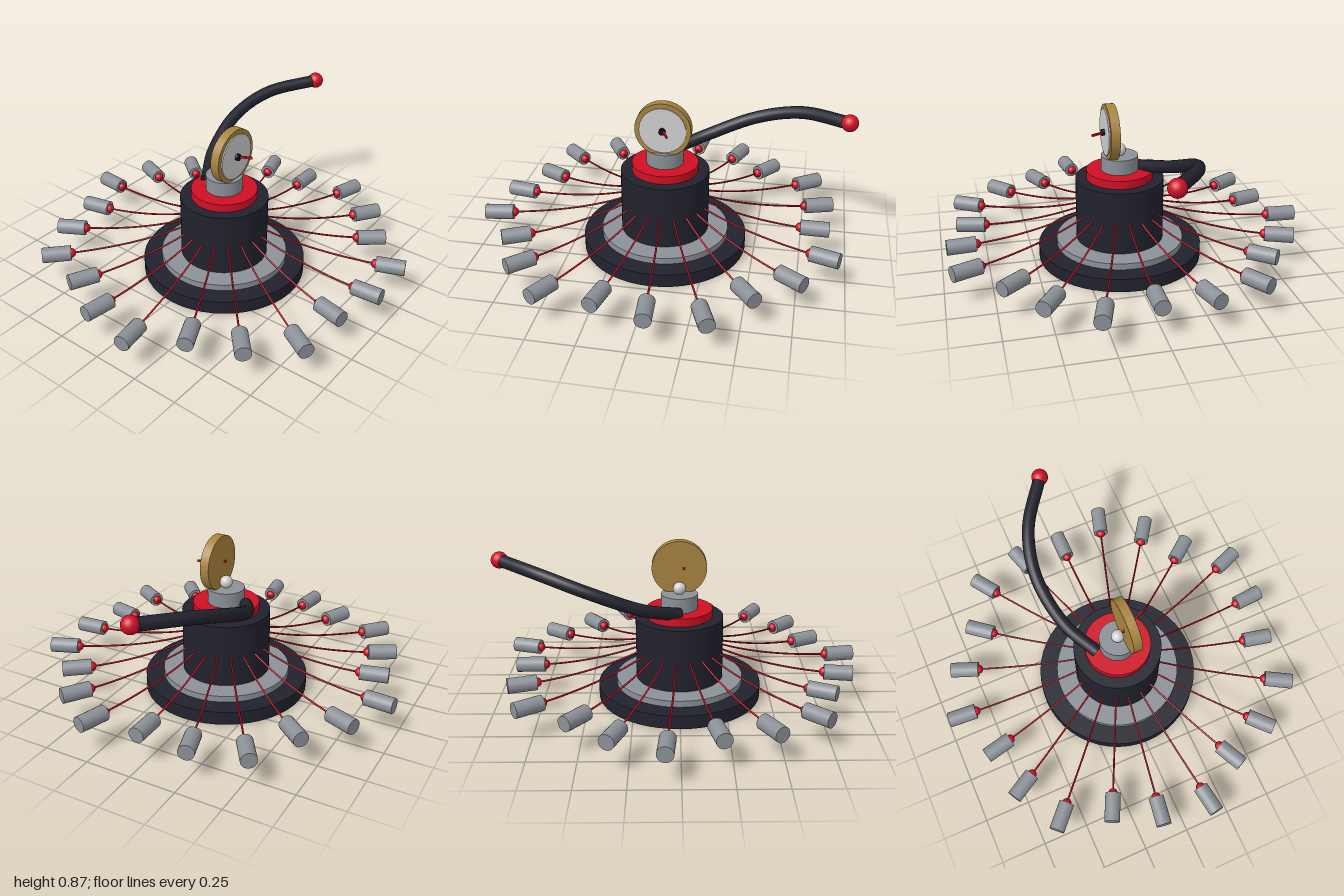
import * as THREE from 'three';

const mat = (name, color, side = THREE.FrontSide) => {
  const m = new THREE.MeshStandardMaterial({ color, side });
  m.name = name;
  return m;
};

export function createModel() {
  const charcoal = mat('charcoal', 0x22222e, THREE.DoubleSide);
  const steel = mat('steel grey', 0x8b9198);
  const red = mat('signal red', 0xd01024);
  const brass = mat('brass', 0xa8843f);
  const white = mat('dial white', 0xd0d0d0);
  const black = mat('hub black', 0x101012);

  const model = new THREE.Group();
  model.name = 'gaugeHub';
  const axis = new THREE.Group(); // everything sits on this shifted axis
  axis.name = 'hub';
  axis.position.z = 0.02;
  model.add(axis);

  const add = (parent, name, geometry, material, x = 0, y = 0, z = 0) => {
    const mesh = new THREE.Mesh(geometry, material);
    mesh.name = name;
    mesh.position.set(x, y, z);
    parent.add(mesh);
    return mesh;
  };

  // Stacked round body: name, material, radius, bottom, top
  for (const [name, material, r, y0, y1] of [
    ['base', charcoal, 0.45, 0, 0.075],
    ['basePlate', steel, 0.35, 0.075, 0.11],
    ['body', charcoal, 0.24, 0.11, 0.46],
    ['collar', red, 0.18, 0.46, 0.505],
    ['neck', steel, 0.1, 0.505, 0.587],
  ]) add(axis, name, new THREE.CylinderGeometry(r, r, y1 - y0, 48), material, 0, (y0 + y1) / 2);
  add(axis, 'neckBall', new THREE.SphereGeometry(0.035, 24, 16), white, 0, 0.615);

  // Round gauge facing the front
  const gauge = new THREE.Group();
  gauge.name = 'gauge';
  gauge.position.set(0, 0.72, 0);
  model.add(gauge);
  const disc = (name, r, z0, z1, material) =>
    add(gauge, name, new THREE.CylinderGeometry(r, r, z1 - z0, 40).rotateX(Math.PI / 2),
      material, 0, 0, (z0 + z1) / 2);
  disc('gaugeCase', 0.15, 0.045, 0.095, brass);
  disc('gaugeFace', 0.125, 0.095, 0.102, white);
  disc('gaugeHub', 0.018, 0.102, 0.118, black);
  // Needle runs through the dial at a slant
  const needle = add(gauge, 'needle', new THREE.BoxGeometry(0.009, 0.012, 0.155), red, 0.004, 0, 0.105);
  needle.rotation.y = 0.45;

  // Curved lever with a ball on the end
  const leverPath = new THREE.CatmullRomCurve3([
    [0, 0.51, -0.1], [0.19, 0.57, -0.205], [0.46, 0.68, -0.25],
    [0.7, 0.755, -0.19], [0.95, 0.79, -0.02],
  ].map((p) => new THREE.Vector3(...p)));
  add(model, 'lever', new THREE.TubeGeometry(leverPath, 48, 0.034, 16), charcoal);
  const cap = add(model, 'leverCap', new THREE.CircleGeometry(0.034, 16), charcoal, 0, 0.51, -0.1);
  cap.lookAt(leverPath.getPoint(0).sub(leverPath.getTangent(0)));
  add(model, 'leverKnob', new THREE.SphereGeometry(0.045, 24, 16), red, 0.95, 0.79, -0.02);

  // Ring of weights on drooping wires, in three alternating lengths
  const count = 21;
  const reach = [0.825, 0.925, 0.875];
  const half = 0.078;
  const weight = new THREE.CylinderGeometry(0.042, 0.042, half * 2, 20).rotateZ(Math.PI / 2);
  const bead = new THREE.SphereGeometry(0.026, 16, 12);
  const wires = reach.map((r) => new THREE.TubeGeometry(new THREE.QuadraticBezierCurve3(
    new THREE.Vector3(0.23, 0.275, 0),
    new THREE.Vector3(0.48, 0.185, 0),
    new THREE.Vector3(r - half, 0.17, 0)), 16, 0.005, 6));
  for (let i = 0; i < count; i++) {
    const r = reach[i % 3];
    const arm = new THREE.Group();
    arm.name = 'arm' + (i + 1);
    arm.rotation.y = -i * 2 * Math.PI / count;
    add(arm, 'wire', wires[i % 3], red);
    add(arm, 'bead', bead, red, r - half, 0.17);
    add(arm, 'weight', weight, steel, r, 0.17);
    axis.add(arm);
  }
  return model;
}
